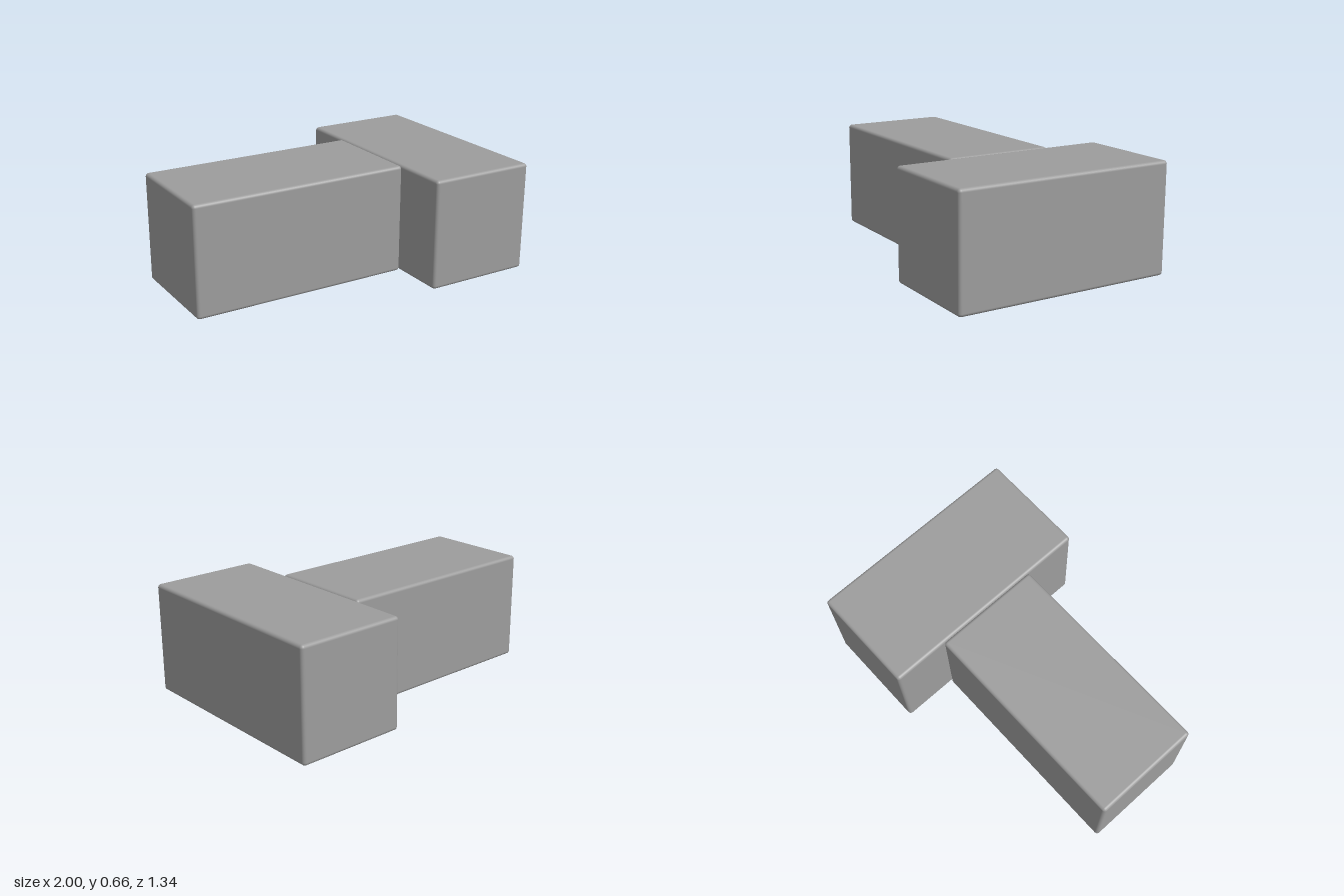
import * as THREE from 'three';
import { RoundedBoxGeometry } from 'three/addons/geometries/RoundedBoxGeometry.js';

const HEIGHT = 0.663;
const BEVEL = 0.02;

export function createModel() {
  const model = new THREE.Group();
  model.name = 'tShapedBlocks';
  const grey = new THREE.MeshStandardMaterial({ color: 0x9c9c9c });
  grey.name = 'plain grey';

  // A softly bevelled block resting on the ground
  function addBlock(name, x0, x1, depth) {
    const geometry = new RoundedBoxGeometry(x1 - x0, HEIGHT, depth, 4, BEVEL);
    const block = new THREE.Mesh(geometry, grey);
    block.name = name;
    block.position.set((x0 + x1) / 2, HEIGHT / 2, 0);
    model.add(block);
  }

  // Long stem butting against the crosswise block
  addBlock('stemBlock', -1, 0.338, 0.663);
  addBlock('crossBlock', 0.338, 1, 1.342);
  return model;
}
